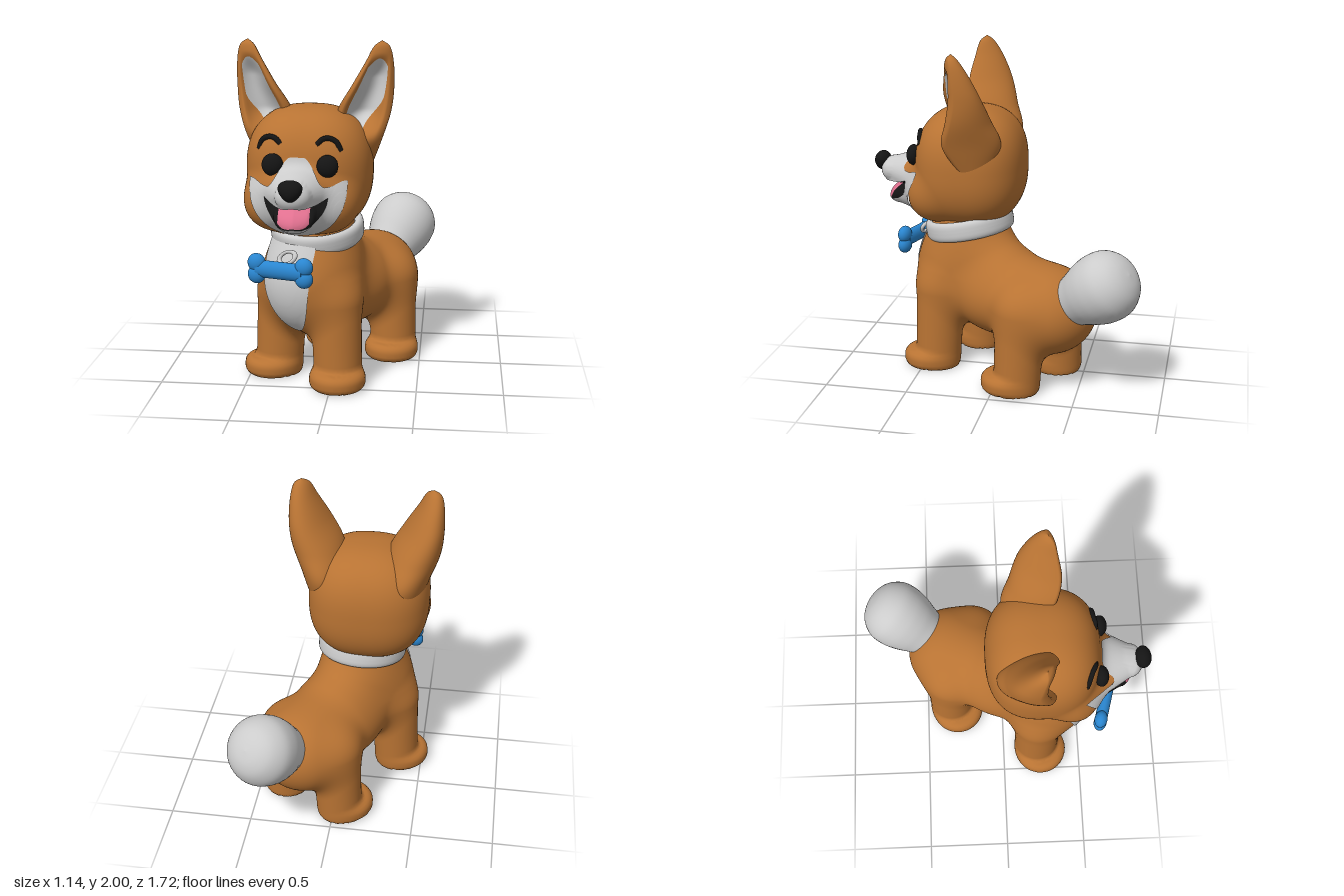
import * as THREE from 'three';
import { mergeVertices } from 'three/addons/utils/BufferGeometryUtils.js';

const FUR = 0xb87333, GREY = 0xcccccc, BLACK = 0x151515, PINK = 0xe0708f, BLUE = 0x2a86d0;
const V = (x, y, z) => new THREE.Vector3(x, y, z);
const { smoothstep, lerp } = THREE.MathUtils;

function part(parent, name, geometry, color, pos, scale) {
  const m = new THREE.Mesh(geometry, new THREE.MeshStandardMaterial({ color, side: THREE.DoubleSide }));
  m.name = name;
  if (pos) m.position.set(...pos);
  if (scale) m.scale.set(...scale);
  parent.add(m);
  return m;
}

// Soft distance fields used to blend the trunk, legs and muzzle
const smin = (a, b, k) => Math.min(a, b) - Math.max(k - Math.abs(a - b), 0) ** 2 / (4 * k);
function ellipsoid(p, c, r) {
  const x = p.x - c[0], y = p.y - c[1], z = p.z - c[2];
  const k0 = Math.hypot(x / r[0], y / r[1], z / r[2]);
  const k1 = Math.hypot(x / r[0] ** 2, y / r[1] ** 2, z / r[2] ** 2);
  return k1 < 1e-6 ? -Math.min(...r) : k0 * (k0 - 1) / k1;
}
function cone(p, a, ra, b, rb) {
  const A = V(...a), ab = V(...b).sub(A), ap = p.clone().sub(A);
  const t = THREE.MathUtils.clamp(ap.dot(ab) / ab.lengthSq(), 0, 1);
  return ap.addScaledVector(ab, -t).length() - lerp(ra, rb, t);
}
function gradient(f, p, e = 0.002) {
  const d = (x, y, z) => f(V(p.x + x, p.y + y, p.z + z)) - f(V(p.x - x, p.y - y, p.z - z));
  return V(d(e, 0, 0), d(0, e, 0), d(0, 0, e)).divideScalar(2 * e);
}
// Point of a field met when looking from the front
function frontPoint(f, x, y) {
  const p = V(x, y, 1);
  for (let i = 0; i < 90 && p.z > 0; i++) {
    const d = f(p);
    if (d < 0.0005) break;
    p.z -= d * 0.7;
  }
  return p;
}

const LEGS = [[0.212, 0.35, 0.235, 0.392], [0.208, -0.28, 0.225, -0.228]]; // leg x, z and paw x, z, front and rear
function bodyField(q) {
  const p = V(Math.abs(q.x - 0.018), q.y, q.z);
  let d = ellipsoid(p, [0, 0.6, 0.305], [0.285, 0.32, 0.29]);
  d = smin(d, cone(p, [0, 0.64, 0.285], 0.265, [0, 0.97, 0.26], 0.22), 0.1);
  d = smin(d, cone(p, [0, 0.74, 0.18], 0.2, [0, 0.53, -0.12], 0.22), 0.1);
  d = smin(d, ellipsoid(p, [0, 0.5, -0.03], [0.285, 0.25, 0.42]), 0.08);
  d = smin(d, ellipsoid(p, [0, 0.48, -0.36], [0.285, 0.265, 0.285]), 0.1);
  for (const [xl, zl, xf, zf] of LEGS) {
    d = smin(d, cone(p, [xl, 0.05, zl], 0.14, [xl - 0.02, 0.5, zl - 0.01], 0.148), 0.09);
    const a = Math.hypot(p.x - xf, p.z - zf) - 0.12, b = Math.abs(p.y - 0.055) - 0.01;
    const foot = Math.min(Math.max(a, b), 0) + Math.hypot(Math.max(a, 0), Math.max(b, 0)) - 0.045;
    d = smin(d, foot, 0.03);
  }
  return Math.max(d, 0.004 - p.y);
}

// Closed quad skin around a field: one vertex per crossed cell
function skin(f, min, max, s) {
  const n = [0, 1, 2].map(a => Math.ceil((max[a] - min[a]) / s) + 1);
  const id = c => (c[0] * n[1] + c[1]) * n[2] + c[2];
  const at = (c, o) => V(...c.map((v, a) => min[a] + (v + o) * s));
  const each = fn => {
    for (let i = 0; i < n[0]; i++) for (let j = 0; j < n[1]; j++) for (let k = 0; k < n[2]; k++) fn([i, j, k]);
  };
  const inside = new Uint8Array(n[0] * n[1] * n[2]), cell = new Map(), pos = [], nor = [], index = [];
  each(c => { inside[id(c)] = f(at(c, 0)) < 0 ? 1 : 0; });
  const vertex = c => {
    const key = id(c);
    if (!cell.has(key)) {
      const p = at(c, 0.5);
      for (let i = 0; i < 4; i++) {
        const g = gradient(f, p);
        p.addScaledVector(g, -f(p) / Math.max(g.lengthSq(), 0.3));
      }
      cell.set(key, pos.length / 3);
      pos.push(p.x, p.y, p.z);
      nor.push(...gradient(f, p, 0.006).normalize().toArray());
    }
    return cell.get(key);
  };
  each(c => {
    for (let a = 0; a < 3; a++) {
      const e = [...c], b = (a + 1) % 3, g = (a + 2) % 3;
      e[a]++;
      if (e[a] >= n[a] || inside[id(c)] === inside[id(e)]) continue;
      const q = [[-1, -1], [0, -1], [0, 0], [-1, 0]].map(([u, v]) => {
        const w = [...c]; w[b] += u; w[g] += v; return vertex(w);
      });
      if (!inside[id(c)]) q.reverse();
      index.push(q[0], q[1], q[2], q[0], q[2], q[3]);
    }
  });
  const geo = new THREE.BufferGeometry();
  geo.setAttribute('position', new THREE.Float32BufferAttribute(pos, 3));
  geo.setAttribute('normal', new THREE.Float32BufferAttribute(nor, 3));
  return geo.setIndex(index);
}

// Grid surface; u runs right and v down on its outer face
function grid(nu, nv, fn) {
  const pos = [], index = [];
  for (let j = 0; j <= nv; j++) for (let i = 0; i <= nu; i++) {
    pos.push(...fn(i / nu, j / nv).toArray());
    const a = j * (nu + 1) + i, b = a + nu + 1;
    if (i < nu && j < nv) index.push(a, b, a + 1, b, b + 1, a + 1);
  }
  const geo = new THREE.BufferGeometry();
  geo.setAttribute('position', new THREE.Float32BufferAttribute(pos, 3));
  const merged = mergeVertices(geo.setIndex(index), 1e-5);
  merged.computeVertexNormals();
  return merged;
}

// Skull with cheeks, upper and lower muzzle
const HC = V(-0.14, 1.265, 0.23), MX = -0.175;
function headField(p) {
  const w = 2.5, sum = Math.abs((p.x - HC.x) / 0.365) ** w + Math.abs((p.y - HC.y) / 0.365) ** w + Math.abs((p.z - HC.z) / 0.335) ** w;
  let d = (sum ** (1 / w) - 1) * 0.335;
  for (const s of [1, -1]) d = smin(d, ellipsoid(p, [MX + s * 0.165, 1.1, 0.425 + s * 0.02], [0.16, 0.165, 0.155]), 0.06);
  const m = V((p.x - MX) * 0.8, p.y, p.z); // the muzzle is wider than tall
  const muzzle = smin(cone(m, [0, 1.16, 0.44], 0.215, [0, 1.2, 0.735], 0.076),
    cone(m, [0, 1.09, 0.42], 0.19, [0, 1.078, 0.69], 0.088), 0.04);
  return smin(d, muzzle, 0.06);
}
function onHead(x, y, lift) {
  const p = frontPoint(headField, x, y);
  return p.addScaledVector(gradient(headField, p).normalize(), lift);
}

function addHead(root) {
  const head = new THREE.Group();
  head.name = 'head';
  root.add(head);
  const geo = new THREE.SphereGeometry(1, 128, 96), P = geo.attributes.position, N = geo.attributes.normal;
  for (let i = 0; i < P.count; i++) {
    const dir = V().fromBufferAttribute(P, i).normalize(), p = V();
    let lo = 0, hi = 0.9;
    for (let k = 0; k < 22; k++) {
      const mid = (lo + hi) / 2;
      if (headField(p.copy(HC).addScaledVector(dir, mid)) < 0) lo = mid; else hi = mid;
    }
    N.setXYZ(i, ...gradient(headField, p, 0.006).normalize().toArray());
    // hollow behind the mouth
    if (p.z > 0.4) p.z -= 0.25 * Math.max(0, 1 - Math.hypot((p.x - MX) / 0.24, (p.y - 1.1) / 0.15));
    P.setXYZ(i, p.x, p.y, p.z);
  }
  part(head, 'skull', geo, FUR);

  // Face mask above and below the mouth line
  const W = 0.275, M = 0.175;
  const top = d => 1.225 + 0.155 * (1 - smoothstep(Math.abs(d), 0.035, 0.16)) + 0.025 * smoothstep(Math.abs(d), 0.18, 0.26);
  const bottom = d => 0.925 + 0.29 * (1 - Math.sqrt(Math.max(0, 1 - (d / W) ** 2)));
  const lip = d => {
    const t = Math.min(1, Math.abs(d / M));
    return Math.min(top(d), Math.max(bottom(d), 1.15 - 0.015 * Math.sin(t * Math.PI) + 0.02 * t * t));
  };
  const chin = d => Math.abs(d) >= M ? lip(d) : lip(d) - 0.125 * Math.sqrt(1 - (d / M) ** 2);
  const strip = (a, b) => grid(88, 28, (u, v) => {
    const d = W * (2 * u - 1);
    return onHead(MX + d, lerp(a(d), b(d), v), 0.006);
  });
  part(head, 'upperMuzzle', strip(top, lip), GREY);
  part(head, 'lowerMuzzle', strip(chin, bottom), GREY);
  const mouthPoint = (d, v, lift) => {
    const p = onHead(MX + d, lerp(lip(d), chin(d), v), 0.006);
    if (v > 0) p.z += lift - 0.11 * (1 - v) * (1 - (d / M) ** 2);
    return p;
  };
  part(head, 'mouth', grid(56, 20, (u, v) => mouthPoint(M * (2 * u - 1), v, 0)), BLACK);
  part(head, 'tongue', grid(24, 20, (u, v) => {
    const t = 2 * u - 1;
    return mouthPoint(0.083 * t, lerp(0.08, 0.95 - 0.14 * t ** 4, v), 0.003 + 0.01 * Math.sqrt(1 - t * t) * Math.sin(Math.PI * (0.1 + 0.85 * v)));
  }), PINK);

  // Nose: wide above, narrow below
  const nose = new THREE.SphereGeometry(1, 32, 24), Q = nose.attributes.position;
  for (let i = 0; i < Q.count; i++) Q.setX(i, Q.getX(i) * (1 + 0.3 * Q.getY(i)));
  nose.computeVertexNormals();
  part(head, 'nose', nose, BLACK, [-0.178, 1.247, 0.812], [0.064, 0.06, 0.05]);

  for (const s of [1, -1]) {
    const x = -0.158 + s * 0.15, side = s > 0 ? 'left' : 'right';
    const eye = onHead(x, 1.335, 0.012);
    part(head, side + 'Eye', new THREE.SphereGeometry(1, 32, 24), BLACK, eye.toArray(), [0.06, 0.063, 0.042]);
    const arc = [[-0.062, 1.452, -0.01], [-0.035, 1.476, 0.004], [0, 1.482, 0.006], [0.042, 1.462, 0.004], [0.072, 1.415, -0.01]];
    const brow = new THREE.CatmullRomCurve3(arc.map(([dx, y, l]) => onHead(-0.17 + s * (0.165 + dx), y, l)));
    part(head, side + 'Brow', new THREE.TubeGeometry(brow, 32, 0.015, 10), BLACK);
    addEar(head, s, side);
  }
}

// Ear sections: y, inner x, outer x, back z, front z
const EAR = [[1.24, 0.07, 0.2, 0.08, 0.2], [1.44, 0, 0.275, 0, 0.335], [1.6, 0.02, 0.325, 0.045, 0.335],
  [1.75, 0.105, 0.34, 0.1, 0.325], [1.88, 0.18, 0.335, 0.16, 0.305], [1.965, 0.225, 0.315, 0.215, 0.288], [2, 0.27, 0.27, 0.255, 0.255]];
const earCurve = (a, b) => new THREE.CatmullRomCurve3(EAR.map(r => V(r[a], r[0], r[b])), false, 'catmullrom');
const earIn = earCurve(1, 3), earOut = earCurve(2, 4);
function addEar(head, s, side) {
  const point = (t, angle, lift) => {
    const a = earIn.getPoint(t), b = earOut.getPoint(t), D = b.z - a.z, c = Math.cos(angle), sn = Math.sin(angle);
    const x = (a.x + b.x) / 2 + c * (b.x - a.x) / 2, rim = b.z - 0.25 * D;
    const turn = lerp(-0.08, 0.22, smoothstep(t, 0.15, 0.55));
    const scoop = 0.42 * D * Math.max(0, 1 - (c / 0.74) ** 2) * smoothstep(t, 0.15, 0.34) * (1 - smoothstep(t, 0.55, 0.76));
    const z = sn < 0 ? rim + 0.75 * D * sn : rim + 0.22 * D * sn - scoop;
    return V(s > 0 ? x : -0.23 - x, a.y, z - turn * D * c + lift - (s > 0 ? 0 : 0.04));
  };
  part(head, side + 'Ear', grid(64, 60, (u, v) => point(v, s * 2 * Math.PI * (u % 1), 0)), FUR);
  part(head, side + 'InnerEar', grid(24, 40, (u, v) => {
    const half = 0.62 * Math.min(1, Math.sqrt(v / 0.15 + 0.02));
    const outer = half - 0.5 * smoothstep(v, 0.55, 1), k = s > 0 ? u : 1 - u;
    return point(lerp(0.7, 0.22, v), Math.acos(lerp(-half, outer, k)), 0.006);
  }), GREY);
}

export function createModel() {
  const root = new THREE.Group();
  root.name = 'puppy';

  // Trunk, legs and paws, turned away from the head's direction
  const body = new THREE.Group();
  body.name = 'body';
  body.rotation.y = -0.49;
  root.add(body);
  part(body, 'trunkAndLegs', skin(bodyField, [-0.5, -0.06, -0.76], [0.5, 1.26, 0.72], 0.022), FUR);
  part(body, 'chestPatch', grid(32, 48, (u, v) => {
    const p = frontPoint(bodyField, 0.04 * v + 0.165 * (1 - v ** 2.6) ** 0.6 * (2 * u - 1), lerp(0.86, 0.335, v));
    return p.addScaledVector(gradient(bodyField, p).normalize(), 0.007);
  }), GREY);

  // Tail: a plump drop
  const drop = [[0.135, -0.03], [0.145, 0.02], [0.167, 0.09], [0.192, 0.165], [0.207, 0.25], [0.199, 0.34], [0.15, 0.415], [0.08, 0.455], [0, 0.468]];
  const profile = new THREE.SplineCurve(drop.map(([r, y]) => new THREE.Vector2(r, y))).getPoints(40);
  profile.forEach(p => { p.x = Math.max(0, p.x); });
  const tail = part(root, 'tail', new THREE.LatheGeometry(profile, 40), GREY, [0.265, 0.56, -0.45]);
  tail.quaternion.setFromUnitVectors(V(0, 1, 0), V(0.09, 0.14, -0.19).normalize());

  // Collar: rounded band
  const band = new THREE.Shape().absellipse(0.245, 0, 0.028, 0.06, 0, Math.PI * 2).getPoints(24);
  band.forEach(p => { p.y = Math.sign(p.y) * 0.06 * Math.abs(p.y / 0.06) ** 0.6; });
  const collar = part(root, 'collar', new THREE.LatheGeometry(band, 64), GREY, [-0.1, 0.9, 0.24]);
  collar.rotation.set(0.19, 0, 0.05);

  // Bone tag on its ring
  const tag = new THREE.Group();
  tag.name = 'boneTag';
  tag.position.set(-0.265, 0.75, 0.63);
  tag.rotation.y = -0.27;
  root.add(tag);
  part(tag, 'boneBar', new THREE.CylinderGeometry(0.05, 0.05, 0.28, 24), BLUE, [0, 0, 0], [1, 1, 0.75]).rotation.z = Math.PI / 2;
  for (const sx of [1, -1]) for (const sy of [1, -1])
    part(tag, 'boneKnob', new THREE.SphereGeometry(0.053, 24, 16), BLUE, [sx * 0.144, sy * 0.034, 0], [1, 1, 0.75]);
  const ring = part(root, 'tagRing', new THREE.TorusGeometry(0.042, 0.012, 12, 32), GREY, [-0.235, 0.805, 0.56], [1.2, 0.8, 1]);
  ring.rotation.set(-0.5, -0.3, 0.3);

  addHead(root);
  return root;
}
